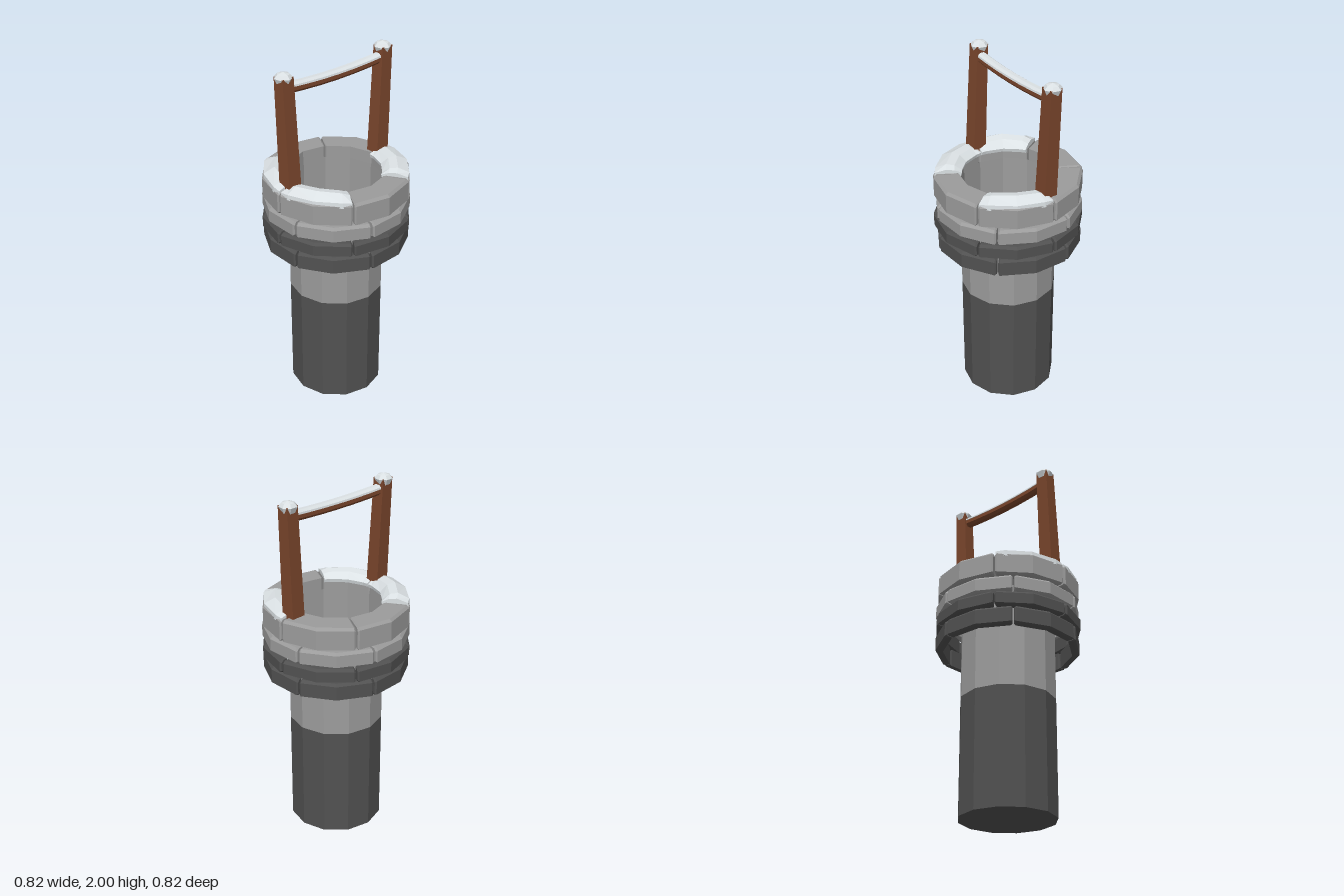
import * as THREE from 'three';

const mat = (name, color, side = THREE.FrontSide) =>
  new THREE.MeshStandardMaterial({ name, color, side, flatShading: true });

// Skin a list of equal-sized rings of points, with fan caps; faces always point outwards.
function loft(rings) {
  const n = rings[0].length, pos = rings.flat().flatMap((p) => [p.x, p.y, p.z]), idx = [];
  const last = (rings.length - 1) * n;
  for (let r = 0; r < rings.length - 1; r++) {
    for (let i = 0; i < n; i++) {
      const a = r * n + i, b = r * n + (i + 1) % n;
      idx.push(a, b, a + n, b, b + n, a + n);
    }
  }
  for (let i = 1; i < n - 1; i++) idx.push(0, i + 1, i, last, last + i, last + i + 1);
  const pts = rings.flat();
  let volume = 0;
  for (let i = 0; i < idx.length; i += 3) {
    volume += pts[idx[i]].dot(pts[idx[i + 1]].clone().cross(pts[idx[i + 2]]));
  }
  if (volume < 0) idx.reverse();
  const g = new THREE.BufferGeometry();
  g.setAttribute('position', new THREE.Float32BufferAttribute(pos, 3));
  g.setIndex(idx);
  const flat = g.toNonIndexed();
  flat.computeVertexNormals();
  return flat;
}

const rad = THREE.MathUtils.degToRad;

// Place a (radius, height) section at an angle measured from the front towards +x.
const ringAt = (section, deg) => section.map(([r, y]) =>
  new THREE.Vector3(r * Math.sin(rad(deg)), y, r * Math.cos(rad(deg))));

// Stone section with chamfered top and bottom edges, optionally shrunk.
function stoneSection(ri, ro, y0, y1, s = 0) {
  const c = 0.014;
  return [
    [ri + s, y0 + s], [ro - c - s, y0 + s], [ro - s, y0 + c * 0.5 + s],
    [ro - s, y1 - c - s], [ro - c - s, y1 - s], [ri + s, y1 - s],
  ];
}

function stoneGeometry(centre, ri, ro, y0, y1) {
  const full = stoneSection(ri, ro, y0, y1), end = stoneSection(ri, ro, y0, y1, 0.006);
  return loft([
    ringAt(end, centre - 29.3), ringAt(full, centre - 28), ringAt(full, centre),
    ringAt(full, centre + 28), ringAt(end, centre + 29.3),
  ]);
}

// Drift of snow lying along one top stone.
function snowGeometry(centre, height) {
  const section = (h) => [
    [0.255, 1.345], [0.398, 1.345], [0.396, 1.362 + h * 0.35],
    [0.335, 1.362 + h], [0.29, 1.36 + h * 0.85], [0.25, 1.365],
  ];
  return loft([
    ringAt(section(height * 0.55), centre - 29), ringAt(section(height * 0.85), centre - 22),
    ringAt(section(height), centre), ringAt(section(height * 0.85), centre + 22),
    ringAt(section(height * 0.55), centre + 29),
  ]);
}

export function createModel() {
  const stone = mat('stone', 0x9c9c9c);
  const shaftStone = mat('shaftStone', 0x9c9c9c, THREE.DoubleSide);
  const darkStone = mat('darkStone', 0x515151);
  const wood = mat('wood', 0x7b462c);
  const snow = mat('snow', 0xdbe1e4);

  const model = new THREE.Group();
  model.name = 'well';
  const add = (name, geometry, material, parent = model) => {
    const mesh = new THREE.Mesh(geometry, material);
    mesh.name = name;
    parent.add(mesh);
    return mesh;
  };

  // Shaft: solid dark lower part, open light upper part
  add('lowerShaft', new THREE.CylinderGeometry(0.265, 0.265, 0.655, 12), darkStone).position.y = 0.3275;
  add('upperShaft', new THREE.CylinderGeometry(0.265, 0.265, 0.645, 12, 1, true), shaftStone).position.y = 0.9775;

  // Stone courses, six blocks each, with staggered joints
  const courses = [
    { name: 'bottomCourse', y0: 0.945, y1: 1.045, ri: 0.36, ro: 0.402, turn: 15, m: darkStone },
    { name: 'lowerCourse', y0: 1.052, y1: 1.132, ri: 0.36, ro: 0.41, turn: 0, m: darkStone },
    { name: 'upperCourse', y0: 1.14, y1: 1.228, ri: 0.34, ro: 0.404, turn: 15, m: stone },
    { name: 'rimCourse', y0: 1.238, y1: 1.367, ri: 0.268, ro: 0.405, turn: 0, m: stone },
  ];
  for (const c of courses) {
    const group = new THREE.Group();
    group.name = c.name;
    model.add(group);
    for (let k = 0; k < 6; k++) {
      add('stoneBlock', stoneGeometry(k * 60 + c.turn, c.ri, c.ro, c.y0, c.y1), c.m, group);
    }
  }

  // Snow on three rim stones
  for (const [angle, height] of [[60, 0.042], [240, 0.054], [300, 0.044]]) {
    add('rimSnow', snowGeometry(angle, height), snow);
  }

  // Leaning, tapered posts with faceted snow caps
  const square = (x, y, z, hx, hz) => [[-1, -1], [1, -1], [1, 1], [-1, 1]].map(([a, b]) =>
    new THREE.Vector3(x + a * hx, y, z + b * hz));
  const posts = [
    { name: 'rightPost', base: [-0.317, -0.007], top: [-0.316, -0.04] },
    { name: 'leftPost', base: [0.318, -0.005], top: [0.346, -0.008] },
  ];
  for (const { name, base, top } of posts) {
    add(name, loft([
      square(base[0], 1.34, base[1], 0.041, 0.04),
      square(top[0], 1.975, top[1], 0.036, 0.034),
    ]), wood);
    const profile = [[0, 1.938], [0.036, 1.94], [0.05, 1.972], [0.034, 1.99], [0, 2]]
      .map(([r, y]) => new THREE.Vector2(r, y));
    const cap = add('postSnow', new THREE.LatheGeometry(profile, 7), snow);
    cap.position.set(top[0], 0, top[1] - 0.003);
  }

  // Sagging crossbeam with a snow layer on top
  const path = new THREE.QuadraticBezierCurve3(
    new THREE.Vector3(-0.305, 1.912, -0.036),
    new THREE.Vector3(0.01, 1.888, -0.011),
    new THREE.Vector3(0.335, 1.912, -0.009));
  const sweep = (section) => loft(path.getPoints(6).map((p) =>
    section.map(([z, y]) => new THREE.Vector3(p.x, p.y + y, p.z + z))));
  add('crossbeam', sweep([[-0.024, 0.016], [-0.024, -0.012], [-0.012, -0.026],
    [0.012, -0.026], [0.024, -0.012], [0.024, 0.016]]), wood);
  add('crossbeamSnow', sweep([[-0.027, 0.01], [0.027, 0.01], [0.025, 0.02],
    [0.011, 0.03], [-0.011, 0.03], [-0.025, 0.02]]), snow);

  return model;
}
